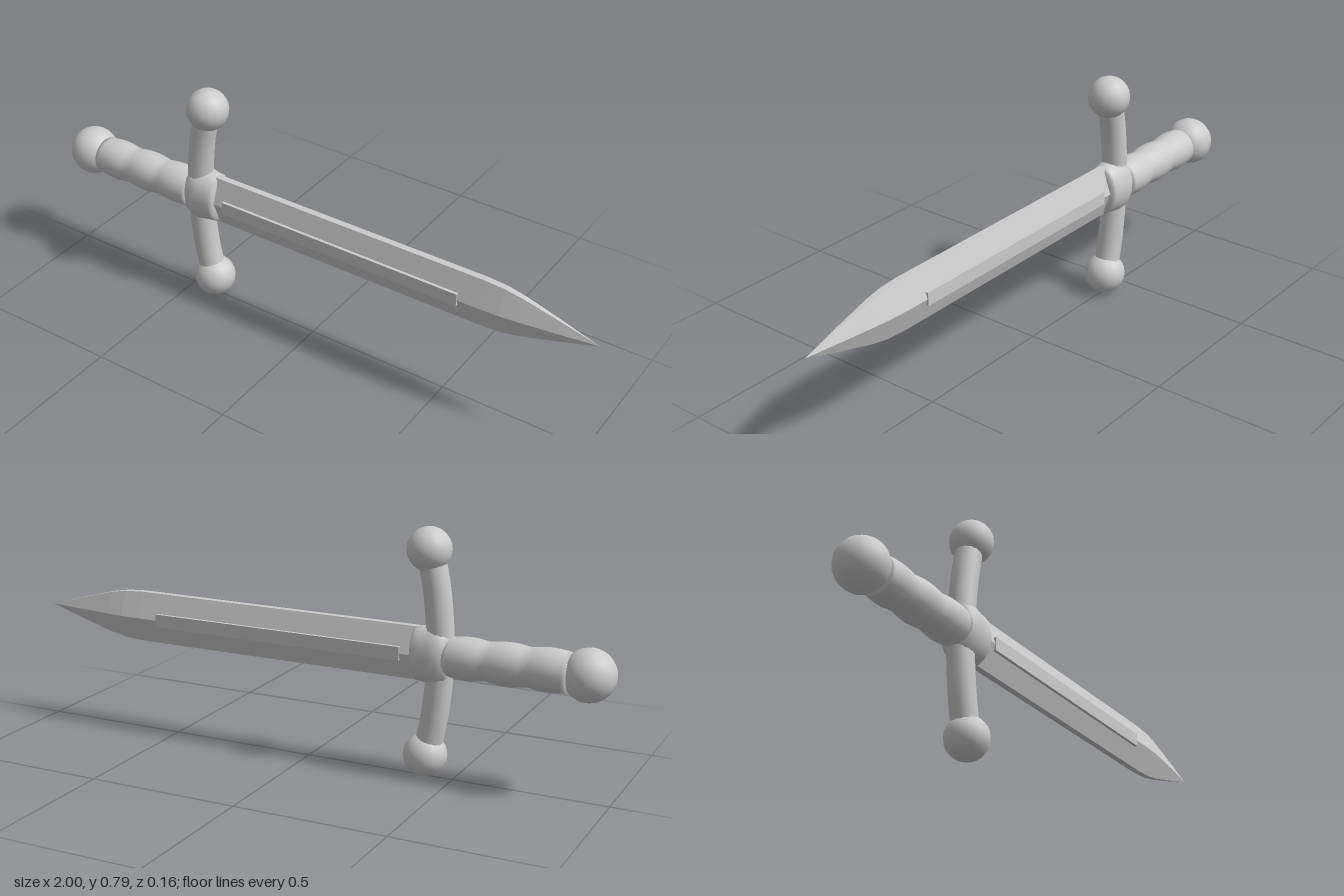
import * as THREE from 'three';

const MID = 0.4; // height of the sword's long axis
const smooth = new THREE.MeshStandardMaterial({ color: 0xcccccc, side: THREE.DoubleSide });
const flat = new THREE.MeshStandardMaterial({ color: 0xcccccc, flatShading: true });

export function createModel() {
  const group = new THREE.Group();
  const add = (name, geometry, material = smooth, x = 0, y = MID) => {
    const mesh = new THREE.Mesh(geometry, material);
    mesh.name = name;
    mesh.position.set(x, y, 0);
    group.add(mesh);
    return mesh;
  };
  // turned part along x from [x, radius] pairs
  const turned = (pts, sides) =>
    new THREE.LatheGeometry(pts.map(([x, r]) => new THREE.Vector2(r, x)), sides).rotateZ(-Math.PI / 2);

  // blade: six-sided sections tapering to a point
  add('blade', bladeGeometry(), flat);

  // raised central strip on both faces
  add('bladeRib', new THREE.BoxGeometry(0.88, 0.044, 0.09), flat, 0.11);

  // grip with three soft swells
  const grip = [[-0.865, 0]];
  for (let i = 0; i <= 24; i++) {
    const t = i / 24;
    grip.push([-0.865 + 0.39 * t, 0.0605 + 0.007 * Math.abs(Math.sin(t * Math.PI * 3))]);
  }
  grip.push([-0.475, 0]);
  add('grip', turned(grip, 20));

  // pommel
  add('pommel', new THREE.SphereGeometry(0.082, 20, 14), smooth, -0.918);

  // curved crossguard, bending toward the blade
  const arc = new THREE.CatmullRomCurve3([
    [-0.41, 0.327], [-0.437, 0.19], [-0.451, 0], [-0.437, -0.19], [-0.41, -0.327],
  ].map(([x, y]) => new THREE.Vector3(x, y, 0)));
  add('crossguard', new THREE.TubeGeometry(arc, 24, 0.043, 16));

  // balls on the guard tips
  for (const side of [1, -1]) {
    add(side > 0 ? 'upperGuardBall' : 'lowerGuardBall',
      new THREE.SphereGeometry(0.07, 16, 12), smooth, -0.407, MID + side * 0.327);
  }

  // oval collar where blade, guard and grip meet
  const collar = add('collar', turned([
    [-0.487, 0], [-0.487, 0.068], [-0.476, 0.084], [-0.455, 0.096], [-0.43, 0.096],
    [-0.4, 0.089], [-0.378, 0.087], [-0.368, 0.077], [-0.366, 0.05], [-0.366, 0],
  ], 20));
  collar.scale.z = 0.7;

  return group;
}

function bladeGeometry() {
  // [x, height scale, thickness scale]
  const stations = [[-0.38, 1, 1], [0.62, 1, 1], [0.69, 0.95, 0.94], [0.75, 0.82, 0.8], [0.87, 0.44, 0.44], [1, 0, 0]];
  // section corners [y, z], starting at the top edge
  const section = [[0.085, 0.011], [0, 0.043], [-0.085, 0.011], [-0.085, -0.011], [0, -0.043], [0.085, -0.011]];
  const n = section.length;
  const positions = [];
  const index = [];
  for (const [x, h, d] of stations) for (const [y, z] of section) positions.push(x, y * h, z * d);
  for (let s = 0; s < stations.length - 1; s++) {
    for (let i = 0; i < n; i++) {
      const a = s * n + i;
      const b = s * n + (i + 1) % n;
      index.push(a, b, a + n);
      if (s < stations.length - 2) index.push(b, b + n, a + n);
    }
  }
  // rear cap
  for (let i = 1; i < n - 1; i++) index.push(0, i + 1, i);
  const geometry = new THREE.BufferGeometry();
  geometry.setAttribute('position', new THREE.Float32BufferAttribute(positions, 3));
  geometry.setIndex(index);
  geometry.computeVertexNormals();
  return geometry;
}
